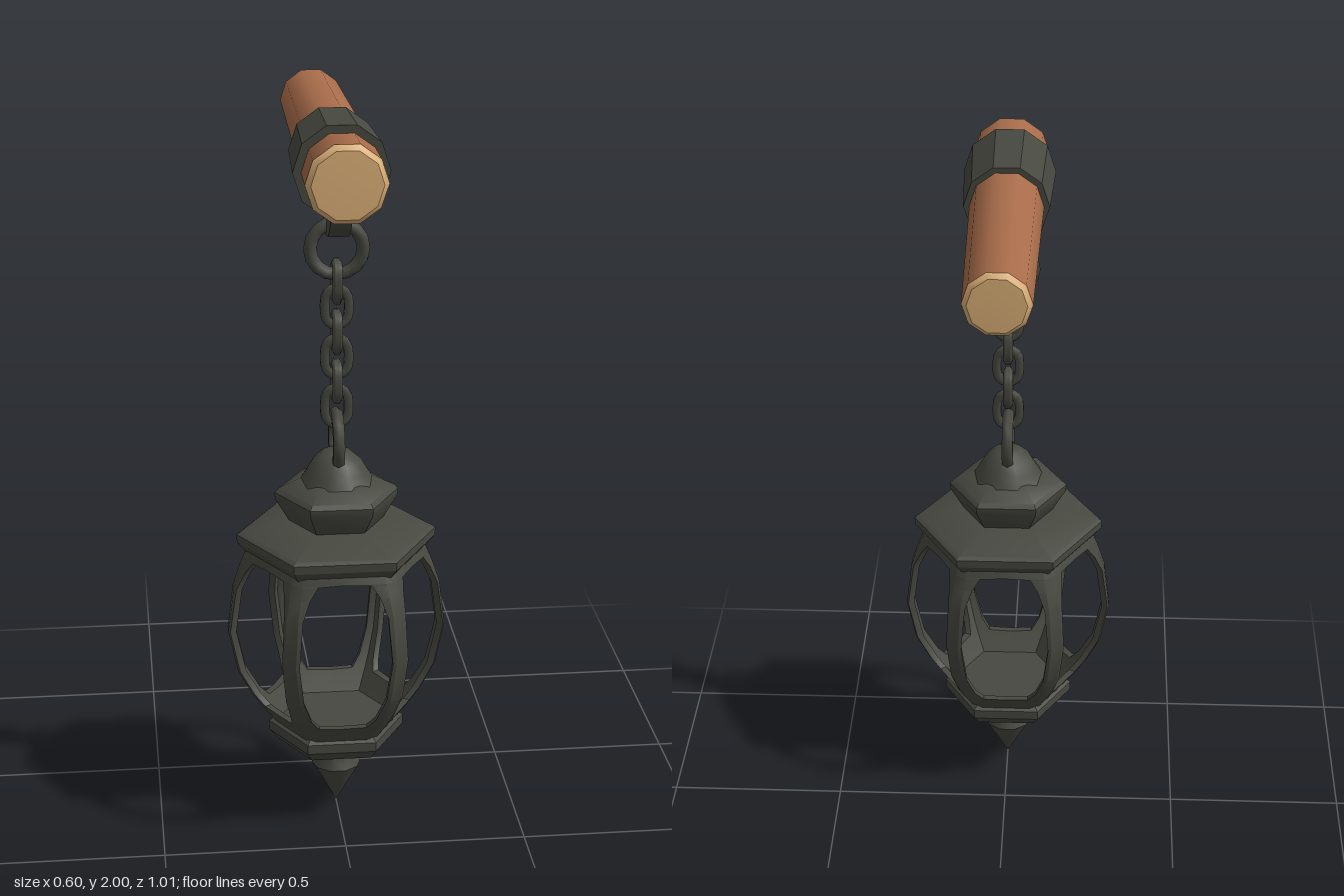
import * as THREE from 'three';
import { toCreasedNormals } from 'three/addons/utils/BufferGeometryUtils.js';

const iron = new THREE.MeshStandardMaterial({ color: 0x474840 });
iron.name = 'dark iron';
const wood = new THREE.MeshStandardMaterial({ color: 0xa86c4a });
wood.name = 'brown wood';
const endGrain = new THREE.MeshStandardMaterial({ color: 0xdcb077 });
endGrain.name = 'pale end grain';

const POLE_Y = 1.878;   // height of the pole axis
const LAMP_Z = 0.233;   // lantern and chain hang on this line

function part(name, geometry, material, crease = 0.65) {
  const mesh = new THREE.Mesh(toCreasedNormals(geometry, crease), material);
  mesh.name = name;
  return mesh;
}

// Turned solid with a corner on the +x side; profile runs bottom to top
function turned(profile, sides) {
  const points = profile.map(([r, y]) => new THREE.Vector2(r, y));
  return new THREE.LatheGeometry(points, sides, Math.PI / 2);
}

// One lantern rib: a folded strip around a hexagon corner, lofted upward.
// Each row is [height, corner radius, half width of the window].
function ribGeometry(rows) {
  const thick = 0.02, chamfer = 0.02, s = Math.sqrt(3) / 2;
  const positions = [], indices = [];
  for (const [y, R, h] of rows) {
    const t = R / 2 - h;
    const edge = [R - t * 0.5, t * s];
    const bevel = [R - chamfer * 0.5, chamfer * s];
    const inner = [edge[0] - thick * s, edge[1] - thick * 0.5];
    const loop = [
      [edge[0], -edge[1]], [bevel[0], -bevel[1]], bevel, edge,
      inner, [R - thick / s, 0], [inner[0], -inner[1]],
    ];
    for (const [radial, side] of loop) positions.push(radial, y, -side);
  }
  const n = 7;
  for (let j = 0; j < rows.length - 1; j++) {
    for (let i = 0; i < n; i++) {
      const a = j * n + i, b = j * n + (i + 1) % n;
      indices.push(a, b, b + n, a, b + n, a + n);
    }
  }
  const g = new THREE.BufferGeometry();
  g.setAttribute('position', new THREE.Float32BufferAttribute(positions, 3));
  g.setIndex(indices);
  g.computeVertexNormals();
  return g;
}

// Oval chain link in the xy plane
function linkGeometry() {
  const points = [];
  for (let i = 0; i < 12; i++) {
    const a = (i + 0.5) / 12 * Math.PI * 2;
    points.push(new THREE.Vector3(
      0.031 * Math.cos(a), 0.031 * Math.sin(a) + 0.02 * Math.sign(Math.sin(a)), 0));
  }
  const curve = new THREE.CatmullRomCurve3(points, true);
  return new THREE.TubeGeometry(curve, 20, 0.014, 6, true);
}

function buildPole() {
  const pole = new THREE.Group();
  pole.name = 'pole';
  pole.position.y = POLE_Y;
  pole.rotation.x = Math.PI / 2;   // profile height becomes z
  pole.add(
    part('shaft', turned([[0.089, -0.49], [0.107, 0.487]], 10), wood),
    part('backEnd', turned([[0, -0.505], [0.076, -0.503], [0.089, -0.49]], 10), endGrain, 0.5),
    part('frontEnd', turned([[0.107, 0.487], [0.093, 0.502], [0, 0.505]], 10), endGrain, 0.5),
    part('band', turned([[0, 0.11], [0.116, 0.11], [0.127, 0.36], [0, 0.36]], 10), iron, 0.5),
  );
  return pole;
}

function buildLug() {
  // Plate under the band, drawn in the zy plane
  const shape = new THREE.Shape([
    [-0.125, 0.11], [-0.125, 0.085], [-0.1, 0.045], [-0.05, 0.01], [0, 0],
    [0.05, 0.01], [0.1, 0.045], [0.125, 0.085], [0.125, 0.11],
  ].map(([x, y]) => new THREE.Vector2(x, y)));
  const g = new THREE.ExtrudeGeometry(shape, { depth: 0.056, bevelEnabled: false });
  g.translate(0, 0, -0.028);
  g.rotateY(Math.PI / 2);
  const lug = part('lug', g, iron);
  lug.position.set(0, 1.675, LAMP_Z);
  return lug;
}

function buildChain() {
  const chain = new THREE.Group();
  chain.name = 'chain';
  chain.position.z = LAMP_Z;
  const ring = new THREE.TorusGeometry(0.071, 0.018, 6, 16);
  const topRing = part('topRing', ring, iron, 1.1);
  topRing.position.y = 1.64;
  const bottomRing = part('bottomRing', ring, iron, 1.1);
  bottomRing.position.y = 1.105;
  bottomRing.rotation.y = Math.PI / 2;
  chain.add(topRing, bottomRing);
  const link = linkGeometry();
  for (let i = 0; i < 6; i++) {
    const mesh = part('link', link, iron, 1.1);
    mesh.position.y = 1.55 - i * 0.07;
    mesh.rotation.y = i % 2 ? 0 : Math.PI / 2;
    chain.add(mesh);
  }
  return chain;
}

function buildLantern() {
  const lantern = new THREE.Group();
  lantern.name = 'lantern';
  lantern.position.z = LAMP_Z;
  lantern.add(
    part('finial', turned([[0, 0], [0.04, 0.072], [0.07, 0.125], [0.053, 0.16], [0.062, 0.2]], 10), iron),
    part('cup', turned([[0, 0.165], [0.06, 0.17], [0.165, 0.205], [0.19, 0.235],
      [0.19, 0.262], [0.175, 0.272], [0, 0.272]], 6), iron, 0.5),
    part('roof', turned([[0, 0.782], [0.248, 0.782], [0.274, 0.812], [0.275, 0.835],
      [0.262, 0.843], [0.14, 0.872], [0, 0.872]], 6), iron, 0.5),
    part('crown', turned([[0.125, 0.865], [0.132, 0.875], [0.168, 0.935], [0.17, 0.955],
      [0.158, 0.967], [0.1, 0.995], [0, 1.0]], 6), iron, 0.5),
    part('dome', turned([[0.105, 0.985], [0.085, 1.015], [0.068, 1.045], [0.04, 1.07], [0, 1.08]], 10), iron),
  );
  // Six ribs leave an oval window between each pair
  const rib = ribGeometry([
    [0.265, 0.178, 0], [0.325, 0.226, 0], [0.328, 0.228, 0.065], [0.36, 0.25, 0.088],
    [0.43, 0.287, 0.112], [0.55, 0.312, 0.126], [0.68, 0.296, 0.115],
    [0.735, 0.278, 0.094], [0.768, 0.265, 0.072], [0.771, 0.264, 0], [0.8, 0.25, 0],
  ]);
  for (let i = 0; i < 6; i++) {
    const mesh = part('rib', rib, iron, 0.5);
    mesh.rotation.y = i * Math.PI / 3;
    lantern.add(mesh);
  }
  return lantern;
}

export function createModel() {
  const model = new THREE.Group();
  model.name = 'hangingLantern';
  model.add(buildPole(), buildLug(), buildChain(), buildLantern());
  return model;
}
